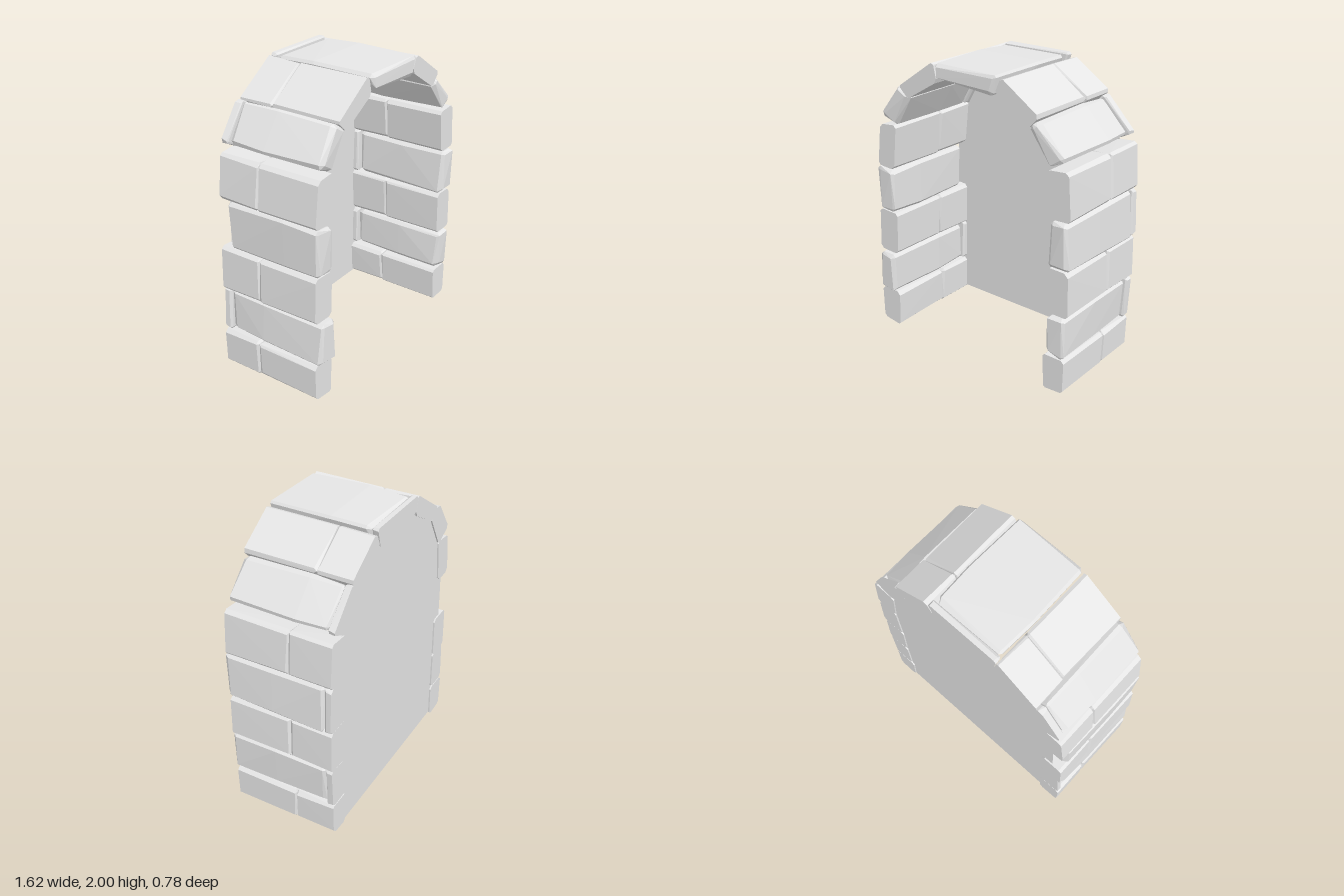
import * as THREE from 'three';
import { ConvexGeometry } from 'three/addons/geometries/ConvexGeometry.js';

const FRONT = 0.345, BACK = -0.39;

// Corner outlines (x, y) of each course, from the ground up to the crown
const LEFT_SIDE = [
  [[0.63, 0.025], [0.775, 0.035], [0.78, 0.27], [0.617, 0.27]],
  [[0.632, 0.285], [0.78, 0.275], [0.795, 0.58], [0.64, 0.565]],
  [[0.64, 0.575], [0.8, 0.575], [0.792, 0.878], [0.632, 0.882]],
  [[0.638, 0.885], [0.808, 0.878], [0.792, 1.205], [0.648, 1.205]],
  [[0.648, 1.2], [0.8, 1.207], [0.777, 1.513], [0.618, 1.5]],
  [[0.635, 1.505], [0.76, 1.568], [0.55, 1.785], [0.472, 1.735]],
  [[0.485, 1.72], [0.56, 1.8], [0.28, 1.985], [0.232, 1.88]],
];
const RIGHT_SIDE = [
  [[-0.81, 0.02], [-0.655, 0.0], [-0.645, 0.265], [-0.815, 0.27]],
  [[-0.808, 0.278], [-0.648, 0.272], [-0.643, 0.57], [-0.79, 0.58]],
  [[-0.808, 0.575], [-0.643, 0.568], [-0.633, 0.874], [-0.797, 0.882]],
  [[-0.788, 0.882], [-0.633, 0.872], [-0.633, 1.195], [-0.797, 1.205]],
  [[-0.79, 1.205], [-0.643, 1.195], [-0.608, 1.515], [-0.755, 1.5]],
  [[-0.75, 1.57], [-0.61, 1.498], [-0.467, 1.742], [-0.585, 1.8]],
  [[-0.56, 1.79], [-0.485, 1.72], [-0.228, 1.87], [-0.258, 1.995]],
];
const KEYSTONE = [[-0.255, 2.0], [-0.23, 1.885], [0.225, 1.86], [0.265, 2.0]];

let seed = 11;
const jitter = (amount) => {
  seed = (seed * 16807) % 2147483647;
  return (seed / 2147483647 - 0.5) * 2 * amount;
};

// Chipped block: every corner is cut; ends are sawn flat or bevelled.
// A rough block is fullest in the middle and tapers unevenly to its ends.
function stone(name, quad, zFront, zBack, { flatFront, flatBack, rough }, material) {
  const points = [];
  const corners = quad.map(([x, y]) => new THREE.Vector2(x, y));
  const bevel = Math.min(rough ? 0.028 : 0.016, (zFront - zBack) * 0.25);

  // Two points beside each corner, optionally drawn in, plus a smaller end face
  const ring = (z, inward, depth, taper) => corners.forEach((p, i) => {
    const next = corners[(i + 1) % 4].clone().sub(p).normalize();
    const prev = corners[(i + 3) % 4].clone().sub(p).normalize();
    const cut = 0.02 + jitter(0.008);
    const pull = Math.abs(jitter(taper));
    const setBack = depth * (1 + jitter(0.5));
    for (const dir of [next, prev]) {
      points.push(new THREE.Vector3(
        p.x + dir.x * cut + (next.x + prev.x) * pull,
        p.y + dir.y * cut + (next.y + prev.y) * pull, z + inward * setBack));
    }
    if (depth > 0) {
      const inset = bevel * (1 + jitter(0.4));
      points.push(new THREE.Vector3(
        p.x + (next.x + prev.x) * inset, p.y + (next.y + prev.y) * inset,
        z + inward * Math.abs(jitter(depth * 0.4))));
    }
  });

  const taper = rough ? 0.016 : 0.003;
  ring(zFront, -1, flatFront ? 0 : bevel, flatFront ? 0 : taper);
  if (rough) ring((zFront + zBack) / 2 + jitter(0.15), 0, 0, 0.004);
  ring(zBack, 1, flatBack ? 0 : bevel, flatBack ? 0 : taper);

  const mesh = new THREE.Mesh(new ConvexGeometry(points), material);
  mesh.name = name;
  return mesh;
}

export function createModel() {
  const group = new THREE.Group();
  group.name = 'stoneArch';
  const stoneGrey = new THREE.MeshStandardMaterial({ color: 0xe6e6e6, flatShading: true, side: THREE.DoubleSide });
  stoneGrey.name = 'stoneGrey';

  const sawnFront = { flatFront: true }, sawnBack = { flatBack: true }, whole = { rough: true };

  // Whole stones alternate with courses split in two
  const splits = { 0: -0.11, 2: -0.093, 4: -0.097, 6: -0.15 };
  const fronts = [[0, 0.365, 0, 0.37, 0, 0.352], [0, 0.39, 0, 0.365, 0, 0.352]];
  [LEFT_SIDE, RIGHT_SIDE].forEach((courses, s) => {
    const side = s === 0 ? 'left' : 'right';
    courses.forEach((quad, i) => {
      const name = `${side}Course${i + 1}`;
      if (i in splits) {
        group.add(stone(`${name}Front`, quad, FRONT, splits[i] - 0.003, sawnFront, stoneGrey));
        group.add(stone(`${name}Back`, quad, splits[i] + 0.003, BACK, sawnBack, stoneGrey));
      } else {
        group.add(stone(`${name}Long`, quad, fronts[s][i], -0.34, whole, stoneGrey));
        // one end stone is missing on the right side
        if (!(s === 1 && i === 3)) {
          group.add(stone(`${name}End`, quad, -0.34, BACK, sawnBack, stoneGrey));
        }
      }
    });
  });

  // Crown of the arch
  group.add(stone('keystone', KEYSTONE, 0.368, -0.342, whole, stoneGrey));
  group.add(stone('keystoneEnd', KEYSTONE, -0.342, BACK, sawnBack, stoneGrey));

  // Back panel reaching to the middle of the surrounding stones
  const centre = (q) => new THREE.Vector2(
    q.reduce((t, p) => t + p[0] / 4, 0), q.reduce((t, p) => t + p[1] / 4, 0));
  const outline = [
    new THREE.Vector2(-0.69, 0.03), new THREE.Vector2(0.67, 0.03),
    ...LEFT_SIDE.slice(1).map(centre), new THREE.Vector2(0, 1.92),
    ...RIGHT_SIDE.slice(1).map(centre).reverse(),
  ];
  const panel = new THREE.Mesh(new THREE.ShapeGeometry(new THREE.Shape(outline)), stoneGrey);
  panel.name = 'backPanel';
  panel.position.z = BACK + 0.01;
  group.add(panel);

  return group;
}
